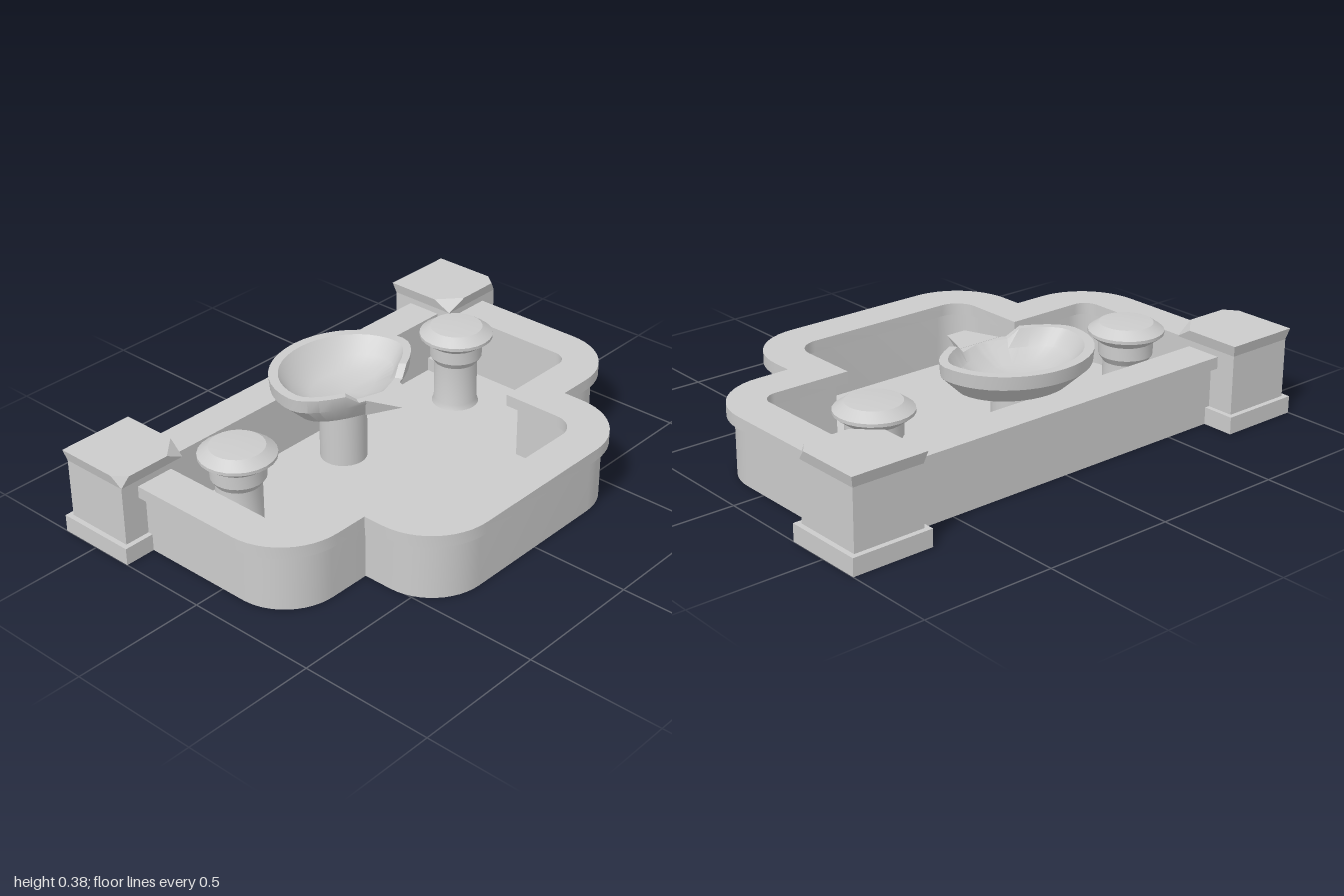
import * as THREE from 'three';
import { toCreasedNormals } from 'three/addons/utils/BufferGeometryUtils.js';
import { ConvexGeometry } from 'three/addons/geometries/ConvexGeometry.js';

const stone = new THREE.MeshStandardMaterial({ color: 0xcccccc });
const sheet = new THREE.MeshStandardMaterial({ color: 0xcccccc, side: THREE.DoubleSide });

function add(parent, name, geometry, material = stone) {
  const mesh = new THREE.Mesh(geometry, material);
  mesh.name = name;
  parent.add(mesh);
  return mesh;
}

// Skin closed rings of points, listed from the first ring to the last.
function loft(rings) {
  const n = rings[0].length;
  const index = [];
  for (let i = 0; i < rings.length - 1; i++) {
    for (let j = 0; j < n; j++) {
      const a = i * n + j, b = i * n + (j + 1) % n;
      index.push(a, a + n, b, b, a + n, b + n);
    }
  }
  const geometry = new THREE.BufferGeometry().setFromPoints(rings.flat());
  geometry.setIndex(index);
  return toCreasedNormals(geometry, 0.6);
}

// Basin plan: a wide rear pool (x1, z1) with a narrower front lobe (x2, z2).
function trace(path, x1, z1, r1, x2, z2, r2, back) {
  path.moveTo(-x1, back);
  path.lineTo(x1, back);
  path.absarc(x1 - r1, z1 - r1, r1, 0, Math.PI / 2);
  path.lineTo(x2, z1);
  path.absarc(x2 - r2, z2 - r2, r2, 0, Math.PI / 2);
  path.absarc(r2 - x2, z2 - r2, r2, Math.PI / 2, Math.PI);
  path.lineTo(-x2, z1);
  path.absarc(r1 - x1, z1 - r1, r1, Math.PI / 2, Math.PI);
  return path;
}

function wall(plan, y0, y1) {
  const points = trace(new THREE.Path(), ...plan).getPoints(6);
  return loft([y0, y1].map(y => points.map(p => new THREE.Vector3(p.x, y, p.y))));
}

function basin(root) {
  const group = new THREE.Group();
  group.name = 'basin';
  root.add(group);
  const inner = [0.79, 0.21, 0.09, 0.42, 0.53, 0.12, -0.45];
  add(group, 'outerWall', wall([0.88, 0.305, 0.21, 0.51, 0.625, 0.21, -0.53], 0, 0.22), sheet);
  add(group, 'innerWall', wall(inner, 0.01, 0.22), sheet);

  const floor = new THREE.ShapeGeometry(trace(new THREE.Shape(), ...inner), 6);
  floor.rotateX(Math.PI / 2).translate(0, 0.01, 0);
  add(group, 'basinFloor', floor, sheet);

  // Overhanging coping
  const rim = trace(new THREE.Shape(), 0.91, 0.33, 0.24, 0.54, 0.65, 0.24, -0.56);
  rim.holes.push(trace(new THREE.Path(), 0.76, 0.18, 0.06, 0.39, 0.5, 0.09, -0.42));
  const coping = new THREE.ExtrudeGeometry(rim, { depth: 0.045, bevelEnabled: false, curveSegments: 6 });
  coping.rotateX(Math.PI / 2).translate(0, 0.265, 0);
  add(group, 'coping', toCreasedNormals(coping, 0.6));
}

function pillar(root, side) {
  const group = new THREE.Group();
  group.name = side > 0 ? 'leftPillar' : 'rightPillar';
  root.add(group);
  const cx = side * 0.843, cz = -0.498;
  add(group, 'pillarBase', new THREE.BoxGeometry(0.314, 0.065, 0.314)).position.set(cx, 0.0325, cz);
  add(group, 'pillarShaft', new THREE.BoxGeometry(0.275, 0.23, 0.275)).position.set(cx, 0.175, cz);
  // Flared cap with its front corners broken away
  const p = (x, y, z) => new THREE.Vector3(cx + side * x, y, cz + z);
  const h = 0.1375, t = 0.148;
  add(group, 'pillarCap', new ConvexGeometry([
    p(-h, 0.288, -h), p(h, 0.288, -h), p(h, 0.288, h), p(-h, 0.288, h),
    p(-t, 0.33, -t), p(t, 0.33, -t), p(t, 0.33, 0.1), p(0.11, 0.33, t),
    p(-0.06, 0.33, t), p(-t, 0.33, 0.07),
  ]));
}

// Mushroom-headed post
function post(root, side) {
  const profile = [[0.09, 0.01], [0.083, 0.03], [0.083, 0.19], [0.1, 0.215], [0.1, 0.265],
    [0.14, 0.295], [0.14, 0.307], [0.1, 0.335], [0, 0.343]].map(p => new THREE.Vector2(...p));
  const mesh = add(root, side > 0 ? 'leftPost' : 'rightPost',
    toCreasedNormals(new THREE.LatheGeometry(profile, 24), 0.5));
  mesh.position.set(side * 0.58, 0, -0.22);
}

// Teardrop ring: round at the back, tapering to the pouring lip in front
function teardrop(rx, back, front, y) {
  return Array.from({ length: 40 }, (_, i) => {
    const a = i / 40 * Math.PI * 2, s = Math.sin(a), c = -Math.cos(a);
    const x = c > 0 ? rx * Math.sign(s) * Math.abs(s) ** 1.8 : rx * s;
    const z = -0.245 + c * (c > 0 ? front : back);
    const lip = c > 0.8 && y > 0.35;
    return new THREE.Vector3(x, lip ? 0.35 : y, z);
  });
}

function bowl(root) {
  const group = new THREE.Group();
  group.name = 'pouringBowl';
  root.add(group);
  add(group, 'bowlColumn', new THREE.CylinderGeometry(0.088, 0.088, 0.26, 24)).position.set(0, 0.14, -0.27);
  add(group, 'bowlShell', loft([
    teardrop(0, 0, 0, 0.265),
    teardrop(0.22, 0.19, 0.15, 0.265),
    teardrop(0.295, 0.265, 0.195, 0.335),
    teardrop(0.3, 0.27, 0.2, 0.385),
    teardrop(0.265, 0.235, 0.17, 0.385),
    teardrop(0.22, 0.185, 0.14, 0.325),
    teardrop(0.14, 0.13, 0.07, 0.29),
    teardrop(0, 0, 0, 0.285),
  ]));
  // Flat spout below the lip
  const corners = [];
  for (const s of [-1, 1]) {
    for (const [x, y, z] of [[0.09, 0.351, -0.075], [0.04, 0.351, 0.055], [0.07, 0.275, -0.095]]) {
      corners.push(new THREE.Vector3(s * x, y, z));
    }
  }
  add(group, 'spout', new ConvexGeometry(corners));
}

export function createModel() {
  const root = new THREE.Group();
  root.name = 'fountain';
  basin(root);
  bowl(root);
  for (const side of [-1, 1]) {
    pillar(root, side);
    post(root, side);
  }
  return root;
}
